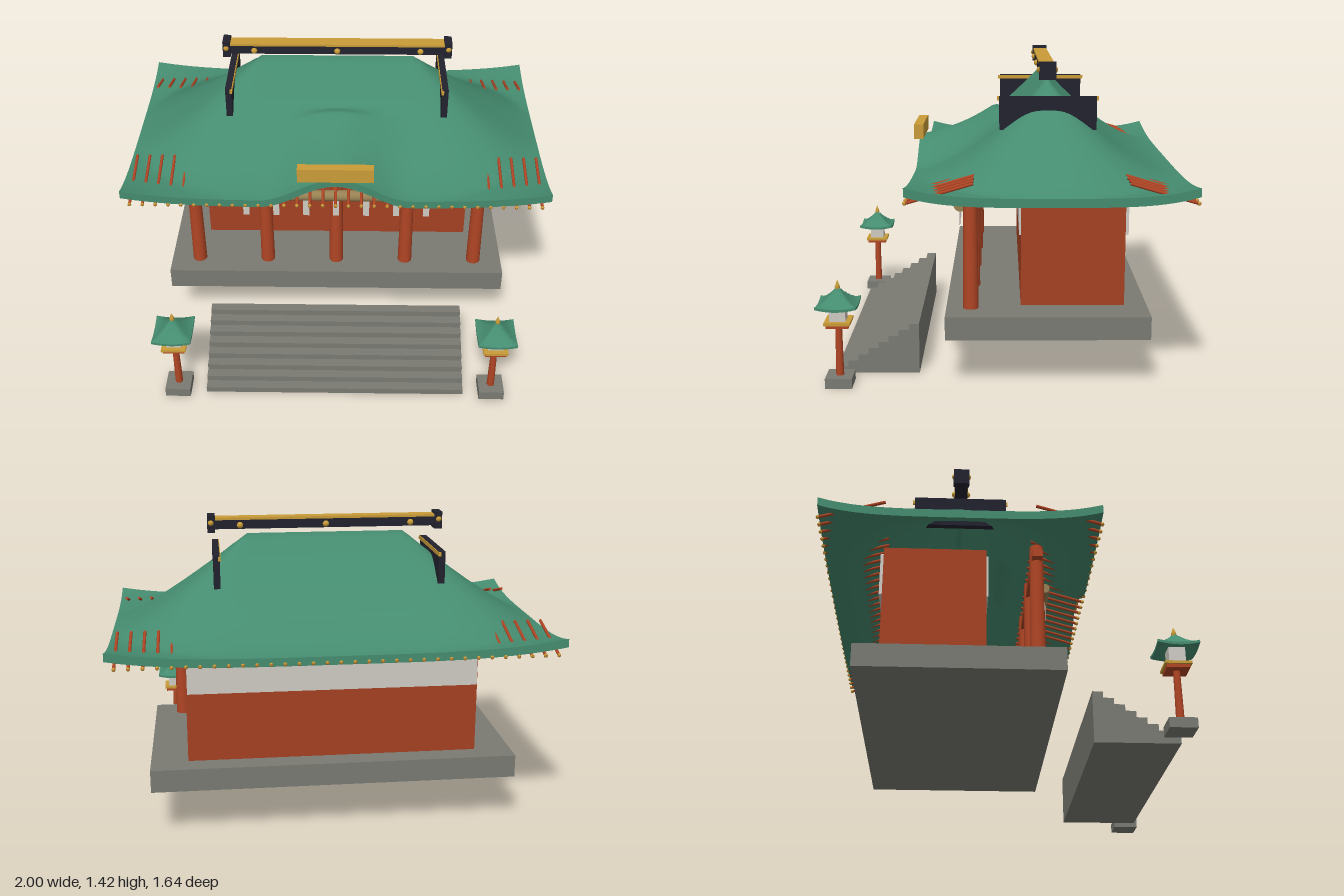
import * as THREE from 'three';

const mat = (name, color) => {
  const m = new THREE.MeshStandardMaterial({ color });
  m.name = name;
  return m;
};

export function createModel() {
  const root = new THREE.Group();
  root.name = 'templeHall';

  const green = mat('roof green', 0x458c70);
  const red = mat('vermilion', 0xb04524);
  const wallRed = mat('wall red', 0xa54123);
  const stone = mat('stone grey', 0x7a7a73);
  const gold = mat('gold', 0xc99c38);
  const black = mat('dark lacquer', 0x22222e);
  const white = mat('plaster white', 0xcfcbc4);
  const straw = mat('straw', 0x978052);

  const add = (name, geo, material, x = 0, y = 0, z = 0, parent = root) => {
    const m = new THREE.Mesh(geo, material);
    m.name = name;
    m.position.set(x, y, z);
    parent.add(m);
    return m;
  };
  // box given by its limits on each axis
  const box = (name, material, x0, x1, y0, y1, z0, z1, parent = root) =>
    add(name, new THREE.BoxGeometry(x1 - x0, y1 - y0, z1 - z0), material,
      (x0 + x1) / 2, (y0 + y1) / 2, (z0 + z1) / 2, parent);
  // slab whose points are lifted by a height rule
  const slab = (w, t, d, nx, nz, height) => {
    const g = new THREE.BoxGeometry(w, t, d, nx, 1, nz);
    const p = g.attributes.position;
    for (let i = 0; i < p.count; i++) p.setY(i, p.getY(i) - t / 2 + height(p.getX(i), p.getZ(i)));
    g.computeVertexNormals();
    return g;
  };

  // Platform and stairs
  box('platform', stone, -0.84, 0.84, 0.235, 0.34, -0.65, 0.25);
  const steps = 8, rise = 0.235 / steps, tread = 0.375 / steps;
  const stair = new THREE.Shape();
  stair.moveTo(0, 0);
  stair.lineTo(0, 0.235);
  for (let i = 1; i <= steps; i++) {
    stair.lineTo(i * tread, 0.235 - (i - 1) * rise);
    stair.lineTo(i * tread, 0.235 - i * rise);
  }
  const stairGeo = new THREE.ExtrudeGeometry(stair, { depth: 1.24, bevelEnabled: false });
  stairGeo.rotateY(-Math.PI / 2);
  add('stairs', stairGeo, stone, 0.62, 0, 0.38);

  // Hall walls with plaster bands
  box('hallWalls', wallRed, -0.67, 0.67, 0.34, 0.9, -0.548, -0.083);
  box('frontBand', white, -0.665, 0.665, 0.665, 0.87, -0.083, -0.075);
  box('backBand', white, -0.665, 0.665, 0.665, 0.87, -0.562, -0.548);

  // Porch columns and beam
  for (let i = -2; i <= 2; i++)
    add('column', new THREE.CylinderGeometry(0.03, 0.035, 0.56, 20), red, i * 0.35, 0.62, 0.14);
  box('porchBeam', red, -0.765, 0.765, 0.82, 0.857, 0.117, 0.163);

  // Straw rope with hanging paper strips
  const rope = add('rope', new THREE.CylinderGeometry(0.023, 0.031, 1.1, 20), straw, 0, 0.775, 0.19);
  rope.rotation.z = Math.PI / 2;
  for (let i = -3; i <= 3; i++)
    box('paperStrip', white, i * 0.147 - 0.015, i * 0.147 + 0.015, 0.66, 0.76, 0.195, 0.2);

  // Sweeping roof: hipped slopes, lifted corners and a curved front gable
  const midZ = -0.205;
  const roofHeight = (x, z) => {
    const a = Math.abs(x), t = Math.min(1, Math.abs(z) / 0.61);
    const u = Math.min(1, Math.max(0, (a - 0.37) / 0.63));
    const dx = 1 - Math.pow(1 - u, 1.2), dz = 1 - Math.pow(1 - t, 1.6);
    const drop = Math.min(1, Math.pow(dx ** 3.4 + dz ** 3.4, 1 / 3.4));
    let y = 0.9 + 0.43 * (1 - drop) + 0.045 * a ** 4 * t ** 4;
    const wz = z + midZ;
    if (a < 0.36 && wz > -0.01) {
      const bell = 0.5 + 0.5 * Math.cos(Math.PI * a / 0.36);
      const fade = Math.min(1, (wz + 0.01) / 0.04);
      y += bell * fade * (0.07 + 0.05 * Math.min(1, wz / 0.3));
    }
    return y;
  };
  add('roof', slab(2, 0.038, 1.22, 60, 48, roofHeight), green, 0, 0, midZ);

  // Rafters with gold end caps under the front and back eaves
  const rafterLen = Math.hypot(0.29, 0.085);
  const rafterGeo = new THREE.CylinderGeometry(0.007, 0.007, rafterLen, 8);
  rafterGeo.rotateX(Math.PI / 2 + Math.atan2(0.085, 0.29));
  const capGeo = new THREE.SphereGeometry(0.009, 8, 6);
  for (const side of [0, Math.PI]) {
    const row = new THREE.Group();
    row.name = 'rafterRow';
    row.position.z = midZ;
    row.rotation.y = side;
    root.add(row);
    for (let i = -16; i <= 16; i++) {
      add('rafter', rafterGeo, red, i * 0.06, 0.9125, 0.47, row);
      add('rafterCap', capGeo, gold, i * 0.06, 0.872, 0.609, row);
    }
  }

  // Front plaque
  box('plaque', gold, -0.175, 0.175, 1.02, 1.09, 0.38, 0.425);

  // Ridge beam with gold top, end blocks and studs
  box('ridgeBeam', black, -0.52, 0.52, 1.355, 1.397, -0.233, -0.171);
  box('ridgeTop', gold, -0.518, 0.518, 1.397, 1.408, -0.236, -0.168);
  const studGeo = new THREE.SphereGeometry(0.015, 12, 8);
  for (const z of [-0.233, -0.171]) {
    for (const x of [-0.4, 0, 0.4]) add('ridgeStud', studGeo, gold, x, 1.372, z);
    for (const s of [-1, 1]) add('ridgeEndStud', studGeo, gold, s * 0.535, 1.385, z);
  }

  for (const s of [-1, 1]) {
    // Ridge end block and gable board with gold trim
    add('ridgeEnd', new THREE.BoxGeometry(0.036, 0.08, 0.076), black, s * 0.533, 1.38, -0.202);
    add('gableBoard', new THREE.BoxGeometry(0.03, 0.15, 0.436), black, s * 0.515, 1.19, midZ);
    add('gableTrim', new THREE.BoxGeometry(0.012, 0.018, 0.456), gold, s * 0.502, 1.254, midZ);

    // Standing lantern
    const lantern = new THREE.Group();
    lantern.name = 'lantern';
    lantern.position.set(s * 0.755, 0, 0.725);
    root.add(lantern);
    const block = (name, m, half, y0, y1) => box(name, m, -half, half, y0, y1, -half, half, lantern);
    block('lanternBase', stone, 0.06, 0, 0.045);
    add('lanternPost', new THREE.CylinderGeometry(0.015, 0.018, 0.235, 16), red, 0, 0.1625, 0, lantern);
    block('lanternBracket', red, 0.05, 0.275, 0.29);
    block('lanternTray', gold, 0.058, 0.29, 0.302);
    block('lanternLight', white, 0.036, 0.302, 0.375);
    const lanternHeight = (x, z) => {
      const a = Math.abs(x) / 0.09, b = Math.abs(z) / 0.09;
      return 0.374 + 0.083 * Math.pow(Math.max(0, 1 - Math.max(a, b)), 1.35) + 0.012 * (a * b) ** 2;
    };
    add('lanternRoof', slab(0.18, 0.012, 0.18, 12, 12, lanternHeight), green, 0, 0, 0, lantern);
    const finial = [[0, 0], [0.009, 0.002], [0.008, 0.01], [0.012, 0.02], [0.009, 0.03], [0, 0.054]]
      .map(([r, y]) => new THREE.Vector2(r, y));
    add('lanternFinial', new THREE.LatheGeometry(finial, 12), gold, 0, 0.431, 0, lantern);
  }

  return root;
}
